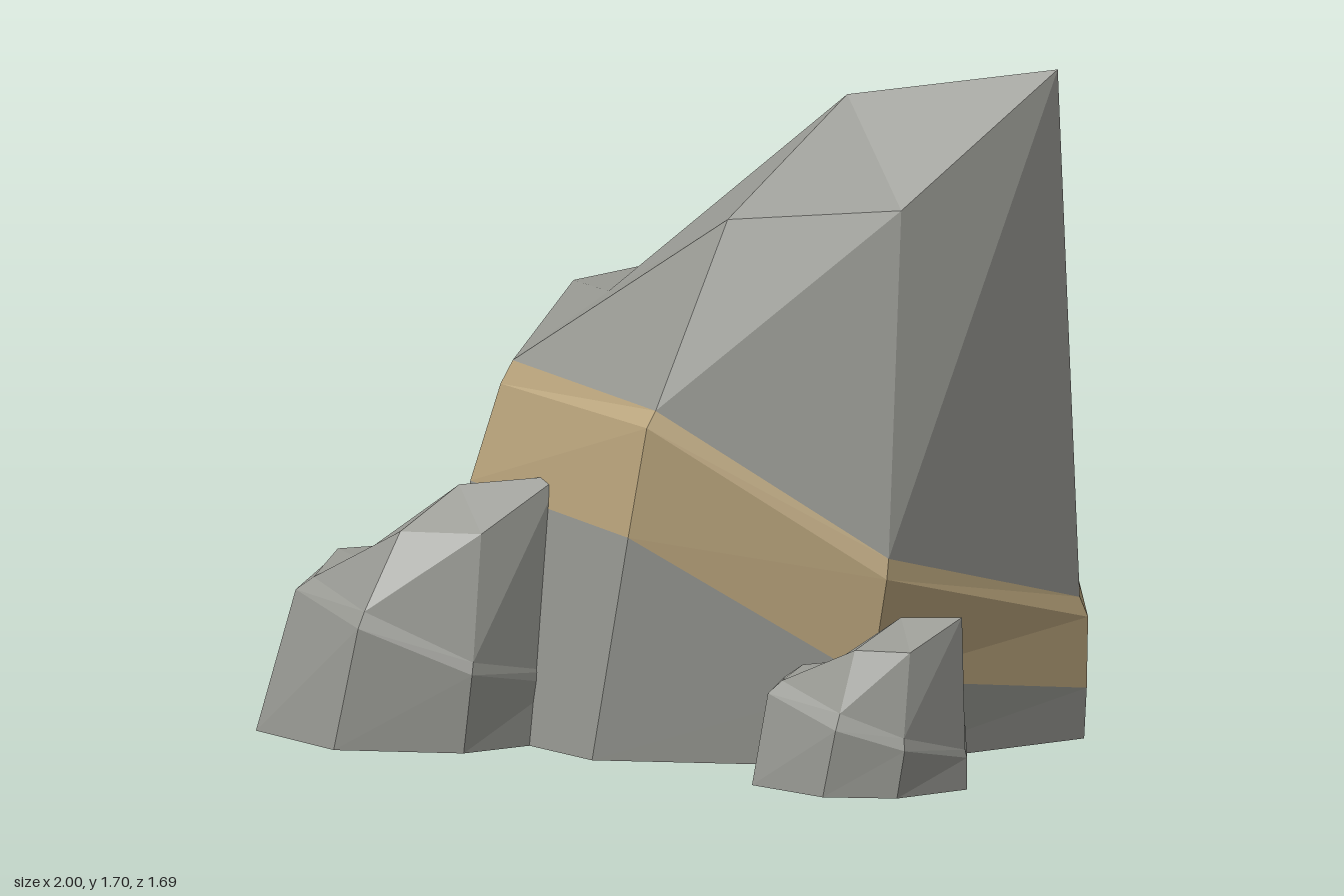
import * as THREE from 'three';

const stone = new THREE.MeshStandardMaterial({ color: 0x969791, flatShading: true, side: THREE.DoubleSide });
stone.name = 'grey stone';
const sand = new THREE.MeshStandardMaterial({ color: 0xb9a47c, flatShading: true, side: THREE.DoubleSide });
sand.name = 'tan stratum';

// Flat-shaded mesh from a list of triangle corners
function facets(name, points, material) {
  const geometry = new THREE.BufferGeometry();
  geometry.setAttribute('position', new THREE.Float32BufferAttribute(points.flat(), 3));
  geometry.computeVertexNormals();
  const mesh = new THREE.Mesh(geometry, material);
  mesh.name = name;
  return mesh;
}

// Seven-sided boulder lofted through rings, closed by a fan; isBand(ring, side) picks tan faces
function boulder(name, rings, crown, isBand = () => false) {
  const grey = [], tan = [];
  const n = rings[0].length;
  for (let s = 0; s < n; s++) {
    const t = (s + 1) % n;
    for (let r = 0; r < rings.length - 1; r++) {
      const a = rings[r], b = rings[r + 1];
      (isBand(r, s) ? tan : grey).push(a[s], b[s], a[t], b[s], b[t], a[t]);
    }
    const top = rings[rings.length - 1];
    grey.push(top[s], crown, top[t]);
  }
  const group = new THREE.Group();
  group.name = name;
  group.add(facets(name + 'Stone', grey, stone));
  if (tan.length) group.add(facets(name + 'Stratum', tan, sand));
  return group;
}

export function createModel() {
  const model = new THREE.Group();
  model.name = 'rockCluster';

  // Rings run from the +x corner round the front, the -x side and the back
  const mainRings = [
    // foot
    [[0.985, 0, -0.09], [0.57, 0, 0.43], [-0.09, 0, 0.55], [-0.62, 0, 0.2], [-0.63, 0, -0.37], [0, 0, -0.845], [0.69, 0, -0.65]],
    // bottom of stratum
    [[0.995, 0.13, -0.08], [0.6, 0.22, 0.44], [0.01, 0.57, 0.57], [-0.51, 0.62, 0.22], [-0.465, 0.83, -0.31], [0.09, 0.6, -0.795], [0.74, 0.41, -0.615]],
    // ledge
    [[1, 0.31, -0.075], [0.645, 0.48, 0.455], [0.06, 0.85, 0.575], [-0.43, 0.87, 0.225], [-0.43, 0.99, -0.29], [0.12, 0.84, -0.775], [0.755, 0.5, -0.605]],
    // top of stratum
    [[0.98, 0.36, -0.07], [0.645, 0.53, 0.44], [0.075, 0.89, 0.55], [-0.4, 0.93, 0.22], [-0.4, 1.04, -0.28], [0.15, 0.92, -0.74], [0.745, 0.56, -0.575]],
    // shoulder
    [[0.945, 1.7, 0], [0.64, 1.385, 0.32], [0.21, 1.35, 0.385], [-0.18, 1.1, 0.13], [-0.18, 1.105, -0.22], [0.25, 1.31, -0.5], [0.71, 1.41, -0.375]],
  ];
  // Stratum wraps every side but the two at the back
  const inStratum = (r, s) => (r === 1 || r === 2) && s !== 4 && s !== 5;
  model.add(boulder('mainBoulder', mainRings, [0.405, 1.61, 0.02], inStratum));

  // Medium boulder, partly sunk into the main one: foot, ledge, ledge top, shoulder
  const mediumRings = [
    [[-0.24, 0, 0.35], [-0.42, 0, 0.56], [-0.74, 0, 0.615], [-1, 0, 0.43], [-0.98, 0, 0.15], [-0.73, 0, 0], [-0.42, 0, 0.06]],
    [[-0.235, 0.15, 0.355], [-0.395, 0.2, 0.57], [-0.675, 0.31, 0.62], [-0.9, 0.36, 0.42], [-0.9, 0.38, 0.18], [-0.67, 0.36, 0.02], [-0.37, 0.24, 0.1]],
    [[-0.235, 0.18, 0.355], [-0.395, 0.23, 0.56], [-0.665, 0.35, 0.6], [-0.86, 0.39, 0.4], [-0.86, 0.425, 0.2], [-0.65, 0.4, 0.05], [-0.37, 0.28, 0.12]],
    [[-0.23, 0.675, 0.365], [-0.39, 0.545, 0.51], [-0.6, 0.54, 0.51], [-0.74, 0.45, 0.42], [-0.74, 0.45, 0.26], [-0.58, 0.53, 0.14], [-0.37, 0.57, 0.2]],
  ];
  model.add(boulder('mediumBoulder', mediumRings, [-0.49, 0.64, 0.375]));

  // Small boulder: foot, ledge, ledge top, shoulder
  const smallRings = [
    [[0.91, 0, 0.635], [0.78, 0, 0.8], [0.6, 0, 0.84], [0.385, 0, 0.74], [0.37, 0, 0.53], [0.63, 0, 0.435], [0.85, 0, 0.49]],
    [[0.91, 0.08, 0.635], [0.8, 0.12, 0.8], [0.635, 0.17, 0.845], [0.42, 0.23, 0.72], [0.41, 0.24, 0.55], [0.66, 0.21, 0.44], [0.86, 0.13, 0.49]],
    [[0.905, 0.1, 0.635], [0.795, 0.15, 0.79], [0.64, 0.21, 0.825], [0.45, 0.26, 0.7], [0.46, 0.275, 0.56], [0.68, 0.245, 0.46], [0.85, 0.16, 0.505]],
    [[0.9, 0.435, 0.645], [0.8, 0.36, 0.755], [0.66, 0.36, 0.765], [0.55, 0.29, 0.69], [0.55, 0.29, 0.57], [0.67, 0.34, 0.52], [0.81, 0.365, 0.54]],
  ];
  model.add(boulder('smallBoulder', smallRings, [0.74, 0.425, 0.64]));

  return model;
}
